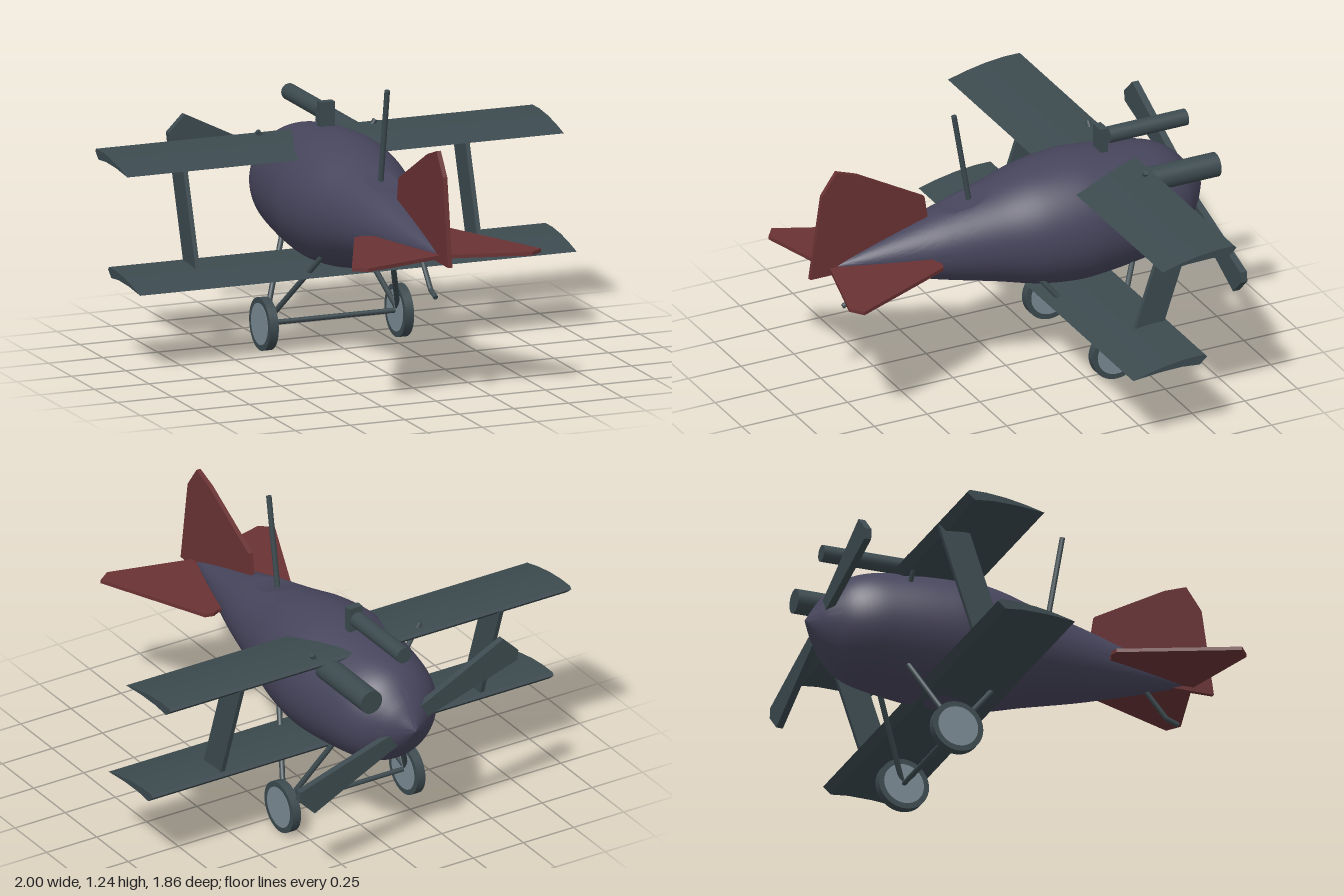
import * as THREE from 'three';
import { toCreasedNormals } from 'three/addons/utils/BufferGeometryUtils.js';

const paint = (name, color) => {
  const m = new THREE.MeshStandardMaterial({ color });
  m.name = name;
  return m;
};

export function createModel() {
  const purple = paint('fuselage purple', 0x47455c);
  const slate = paint('slate green', 0x3c4a4f);
  const red = paint('tail red', 0x6a3234);
  const grey = paint('hub grey', 0x7a8a93);

  const model = new THREE.Group();
  model.name = 'biplane';
  const cx = -0.01; // centre line of the body

  const add = (name, geometry, material, x = 0, y = 0, z = 0) => {
    const mesh = new THREE.Mesh(geometry, material);
    mesh.name = name;
    mesh.position.set(x, y, z);
    model.add(mesh);
    return mesh;
  };
  const slab = (points, depth) => {
    const shape = new THREE.Shape(points.map(p => new THREE.Vector2(...p)));
    return new THREE.ExtrudeGeometry(shape, { depth, bevelEnabled: false }).translate(0, 0, -depth / 2);
  };
  // Outline given as (z, y), thickness along x
  const sideSlab = (points, depth) => slab(points, depth).rotateY(-Math.PI / 2);
  const rod = (name, a, b, radius) => {
    const from = new THREE.Vector3(...a), to = new THREE.Vector3(...b);
    const dir = to.clone().sub(from);
    const mesh = add(name, new THREE.CylinderGeometry(radius, radius, dir.length(), 10), slate);
    mesh.position.copy(from).addScaledVector(dir, 0.5);
    mesh.quaternion.setFromUnitVectors(new THREE.Vector3(0, 1, 0), dir.normalize());
  };

  // Fuselage: teardrop turned about z, with a shallow cockpit cut in its top
  const profile = new THREE.SplineCurve([
    [0, -0.93], [0.055, -0.897], [0.12, -0.853], [0.195, -0.78], [0.238, -0.69],
    [0.262, -0.56], [0.28, -0.4], [0.284, -0.27], [0.262, -0.1], [0.215, 0.08],
    [0.167, 0.28], [0.135, 0.4], [0.07, 0.62], [0.002, 0.825],
  ].map(p => new THREE.Vector2(...p))).getPoints(130);
  profile.forEach(p => { p.x = Math.max(p.x, 0); });
  const body = new THREE.LatheGeometry(profile, 96).rotateX(Math.PI / 2);
  const pos = body.attributes.position;
  for (let i = 0; i < pos.count; i++) {
    const z = pos.getZ(i);
    if (z < 0.08 || z > 0.31) continue;
    const floor = 0.158 + 0.057 * ((0.31 - z) / 0.23) ** 2;
    pos.setY(i, Math.min(pos.getY(i), floor));
  }
  add('fuselage', toCreasedNormals(body, 0.3), purple, cx, 0.65, 0);

  // Wings: one cambered section, staggered
  const section = [
    [0.175, -0.024], [0.09, -0.002], [0, 0.015], [-0.09, 0.024], [-0.165, 0.024],
    [-0.175, 0.012], [-0.14, -0.018], [-0.06, -0.01], [0.05, -0.012],
  ];
  add('upperWing', sideSlab(section, 2), slate, 0, 0.868, -0.409);
  add('lowerWing', sideSlab(section, 2), slate, 0, 0.385, -0.27);

  // Slanted plates between the wings, short struts and landing gear, both sides
  for (const s of [1, -1]) {
    const side = s > 0 ? 'left' : 'right';
    const strut = [[-0.28, 0.385], [-0.415, 0.385], [-0.58, 0.875], [-0.44, 0.86]];
    add(side + 'WingStrut', sideSlab(strut, 0.02), slate, cx + s * 0.646, 0, 0);
    rod(side + 'CabaneStrut', [cx + s * 0.27, 0.91, -0.53], [cx + s * 0.18, 0.77, -0.53], 0.011);

    const hub = [cx + s * 0.305, 0.115, -0.363];
    rod(side + 'FrontGearLeg', hub, [cx + s * 0.155, 0.46, -0.53], 0.012);
    rod(side + 'RearGearLeg', hub, [cx + s * 0.155, 0.46, -0.085], 0.012);
    add(side + 'Wheel', new THREE.CylinderGeometry(0.114, 0.114, 0.04, 40).rotateZ(Math.PI / 2),
      slate, cx + s * 0.31, 0.114, -0.363);
    add(side + 'WheelHub', new THREE.CylinderGeometry(0.09, 0.09, 0.044, 40).rotateZ(Math.PI / 2),
      grey, cx + s * 0.31, 0.114, -0.363);
  }
  rod('axle', [cx - 0.3, 0.115, -0.363], [cx + 0.3, 0.115, -0.363], 0.011);

  // Propeller: two blades, half a turn apart
  const blade = [[-0.545, 0.207], [-0.47, 0.282], [-0.25, 0.172], [0, 0.05], [0, -0.01], [-0.28, 0.078], [-0.54, 0.162]];
  for (const turn of [0, Math.PI]) {
    add('propellerBlade', slab(blade, 0.03), slate, cx, 0.648, -0.857).rotation.z = turn;
  }

  // Guns: one on a post above the body, one beside the nose
  add('topGun', new THREE.CylinderGeometry(0.036, 0.036, 0.37, 28).rotateX(Math.PI / 2), slate, 0, 0.982, -0.665);
  add('topGunPost', new THREE.BoxGeometry(0.066, 0.15, 0.036), slate, 0, 0.957, -0.448);
  add('sideGun', new THREE.CylinderGeometry(0.053, 0.053, 0.36, 32).rotateX(Math.PI / 2), slate, 0.193, 0.835, -0.717);

  // Tail fin and tailplane
  const fin = [[0.926, 0.62], [0.87, 1.0], [0.8, 1.1], [0.7, 1.065], [0.385, 0.89], [0.365, 0.76], [0.7, 0.62]];
  add('tailFin', sideSlab(fin, 0.02), red, cx);
  const plane = [[0, 0.83], [-0.375, 0.928], [-0.434, 0.885], [-0.218, 0.4], [-0.18, 0.39], [-0.15, 0.405], [0, 0.45]];
  const tailOutline = [...plane, ...plane.slice(1, -1).reverse().map(([x, z]) => [-x, z])];
  // Drop the centre notch so the two halves share a straight root
  tailOutline.splice(6, 1);
  add('tailplane', slab(tailOutline, 0.016).rotateX(Math.PI / 2), red, cx, 0.646, 0);

  // Cockpit mast and tail skid
  rod('mast', [cx, 0.79, 0.165], [cx, 1.235, 0.241], 0.012);
  rod('tailSkidLeg', [cx, 0.61, 0.6], [cx, 0.475, 0.715], 0.011);
  rod('tailSkidFoot', [cx, 0.478, 0.71], [cx, 0.455, 0.768], 0.011);

  return model;
}
